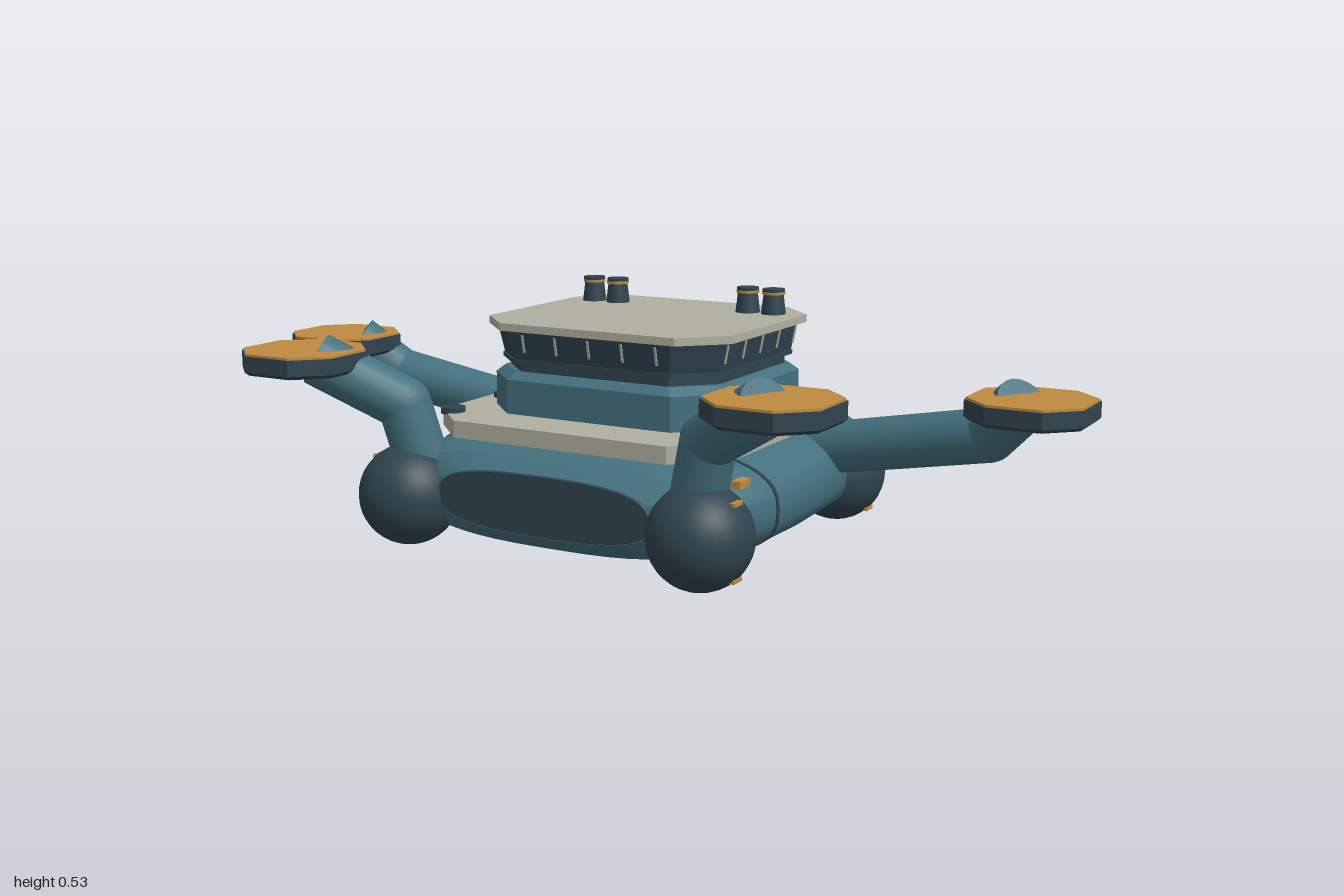
import * as THREE from 'three';
import { toCreasedNormals } from 'three/addons/utils/BufferGeometryUtils.js';

const mat = (name, color) => Object.assign(new THREE.MeshStandardMaterial({ color }), { name });

// Skin a list of equal-length rings; rings run counter-clockwise seen from the end of the loft.
function loft(rings, crease, caps = true) {
  const n = rings[0].length, pos = rings.flat(2), idx = [];
  for (let r = 0; r < rings.length - 1; r++) {
    for (let i = 0; i < n; i++) {
      const j = (i + 1) % n, a = r * n + i, b = r * n + j;
      idx.push(a, b, b + n, a, b + n, a + n);
    }
  }
  if (caps) {
    const last = (rings.length - 1) * n;
    for (let i = 1; i < n - 1; i++) idx.push(0, i + 1, i, last, last + i, last + i + 1);
  }
  const g = new THREE.BufferGeometry();
  g.setAttribute('position', new THREE.Float32BufferAttribute(pos, 3));
  g.setIndex(idx);
  return toCreasedNormals(g, crease);
}

// Chamfered rectangle at height y
function octagon(y, hx, z0, z1, c) {
  return [[hx - c, z1], [hx, z1 - c], [hx, z0 + c], [hx - c, z0],
    [c - hx, z0], [-hx, z0 + c], [-hx, z1 - c], [c - hx, z1]].map(([x, z]) => [x, y, z]);
}

// Rounded-box hull section at z
function section(z, w, y0, y1, grow = 0, n = 48) {
  const ring = [], p = 2 / 2.8, pw = v => Math.sign(v) * Math.abs(v) ** p;
  for (let i = 0; i < n; i++) {
    const a = i / n * Math.PI * 2;
    ring.push([(w + grow) * pw(Math.cos(a)), (y0 + y1) / 2 + ((y1 - y0) / 2 + grow) * pw(Math.sin(a)), z]);
  }
  return ring;
}

export function createModel() {
  const root = new THREE.Group();
  const teal = mat('teal hull', 0x44707e), dark = mat('dark slate', 0x30444f);
  const pale = mat('pale deck', 0xb0b0a1), amber = mat('amber', 0xbf8b40);

  const add = (name, geo, m, x = 0, y = 0, z = 0, parent = root) => {
    const mesh = new THREE.Mesh(geo, m);
    mesh.name = name;
    mesh.position.set(x, y, z);
    parent.add(mesh);
    return mesh;
  };
  const slab = (name, m, y0, y1, o0, o1 = o0, parent = root) =>
    add(name, loft([octagon(y0, ...o0), octagon(y1, ...o1)], 0.2), m, 0, 0, 0, parent);

  // Hull: z, half width, bottom, top
  const stations = [
    [-0.60, 0.125, 0.098, 0.197], [-0.46, 0.35, 0.027, 0.235], [-0.28, 0.415, 0.006, 0.25],
    [0, 0.43, 0.003, 0.25], [0.185, 0.43, 0.006, 0.248], [0.30, 0.41, 0.015, 0.24],
    [0.37, 0.36, 0.032, 0.228], [0.41, 0.26, 0.065, 0.197]];
  add('hull', loft(stations.map(s => section(...s)), 0.5), teal);
  add('frontPanel', loft([section(0.409, 0.258, 0.066, 0.196), section(0.413, 0.256, 0.068, 0.194)], 0.5), dark);
  add('sternPanel', loft([section(-0.603, 0.122, 0.1, 0.195), section(-0.599, 0.124, 0.099, 0.196)], 0.5), dark);
  add('hullSeam', loft([section(0.18, 0.43, 0.006, 0.248, 0.002), section(0.19, 0.43, 0.006, 0.248, 0.002)], 0.5), dark);

  // Deck and cabin, stacked from chamfered slabs
  slab('deck', pale, 0.238, 0.275, [0.36, -0.37, 0.35, 0.1]);
  slab('cabinBase', teal, 0.27, 0.35, [0.288, -0.295, 0.23, 0.085]);
  slab('cabinShoulder', teal, 0.35, 0.366, [0.288, -0.295, 0.23, 0.085], [0.27, -0.277, 0.212, 0.08]);
  slab('cabinNeck', dark, 0.364, 0.394, [0.262, -0.27, 0.205, 0.08]);
  slab('windowSill', dark, 0.385, 0.394, [0.275, -0.282, 0.217, 0.08]);
  slab('windowBand', dark, 0.394, 0.458, [0.272, -0.28, 0.214, 0.08], [0.285, -0.293, 0.227, 0.085]);
  slab('roof', pale, 0.457, 0.474, [0.303, -0.303, 0.236, 0.088]);

  // Window dividers, leaning out with the glass
  const bar = new THREE.BoxGeometry(0.005, 0.04, 0.005), lean = Math.atan2(0.013, 0.064);
  for (let i = 0; i < 5; i++) {
    const t = (i - 2) * 0.082;
    for (const s of [-1, 1]) {
      add('sideWindowDivider', bar, pale, s * 0.2795, 0.43, t - 0.035).rotation.z = -s * lean;
      add('endWindowDivider', bar, pale, t, 0.43, -0.033 + s * 0.2545).rotation.x = s * lean;
    }
  }

  // Exhaust stacks and deck bollards
  const stack = new THREE.CylinderGeometry(0.022, 0.028, 0.05, 16);
  const ring = new THREE.CylinderGeometry(0.026, 0.026, 0.006, 16);
  const lid = new THREE.CylinderGeometry(0.025, 0.025, 0.007, 16);
  const bollard = new THREE.CylinderGeometry(0.027, 0.027, 0.014, 16);
  for (const s of [-1, 1]) {
    for (const x of [0.17, 0.234]) {
      add('stack', stack, dark, s * x, 0.497, -0.187);
      add('stackRing', ring, amber, s * x, 0.521, -0.187);
      add('stackLid', lid, dark, s * x, 0.527, -0.187);
    }
    for (const z of [-0.14, 0.065, 0.268]) add('bollard', bollard, dark, s * 0.32, 0.279, z);
    add('sideLamp', new THREE.BoxGeometry(0.02, 0.016, 0.045), amber, s * 0.39, 0.2, 0.275);
  }

  // Arms: ball joint, bent tube and landing pad
  const R = 0.058, ball = new THREE.SphereGeometry(0.11, 32, 20);
  const elbow = new THREE.SphereGeometry(R, 16, 12);
  const mark = new THREE.BoxGeometry(0.012, 0.008, 0.034);
  const up = new THREE.Vector3(0, 1, 0);
  const arms = [
    { name: 'front', ball: [0.356, 0.11, 0.382], pad: [0.556, 0.378, 0.477],
      path: [[0.33, 0.15, 0.355], [0.37, 0.305, 0.375], [0.535, 0.402, 0.462]] },
    { name: 'rear', ball: [0.356, 0.11, -0.277], pad: [0.877, 0.32, -0.05],
      path: [[0.35, 0.18, -0.18], [0.765, 0.265, -0.125], [0.852, 0.35, -0.066]] }];
  for (const s of [-1, 1]) {
    for (const arm of arms) {
      const g = new THREE.Group();
      g.name = arm.name + (s > 0 ? 'LeftArm' : 'RightArm');
      root.add(g);
      const [bx, by, bz] = arm.ball;
      add('ballJoint', ball, dark, s * bx, by, bz, g);
      for (const k of [-1, 1]) add('jointMark', mark, amber, s * (bx + 0.078), by + k * 0.077, bz, g);

      const pts = arm.path.map(([x, y, z]) => new THREE.Vector3(s * x, y, z));
      for (let i = 0; i < 2; i++) {
        const d = pts[i + 1].clone().sub(pts[i]), mid = pts[i].clone().add(pts[i + 1]).multiplyScalar(0.5);
        const tube = add('armTube', new THREE.CylinderGeometry(R, R, d.length(), 20), teal, ...mid, g);
        tube.quaternion.setFromUnitVectors(up, d.normalize());
      }
      add('elbow', elbow, teal, ...pts[1], g);

      const pad = new THREE.Group();
      pad.name = 'landingPad';
      pad.position.set(s * arm.pad[0], arm.pad[1], arm.pad[2]);
      g.add(pad);
      slab('padBevel', dark, 0, 0.008, [0.114, -0.114, 0.114, 0.06], [0.123, -0.123, 0.123, 0.064], pad);
      slab('padBody', dark, 0.008, 0.042, [0.123, -0.123, 0.123, 0.064], undefined, pad);
      slab('padTop', amber, 0.041, 0.047, [0.12, -0.12, 0.12, 0.063], undefined, pad);
    }
  }
  return root;
}
